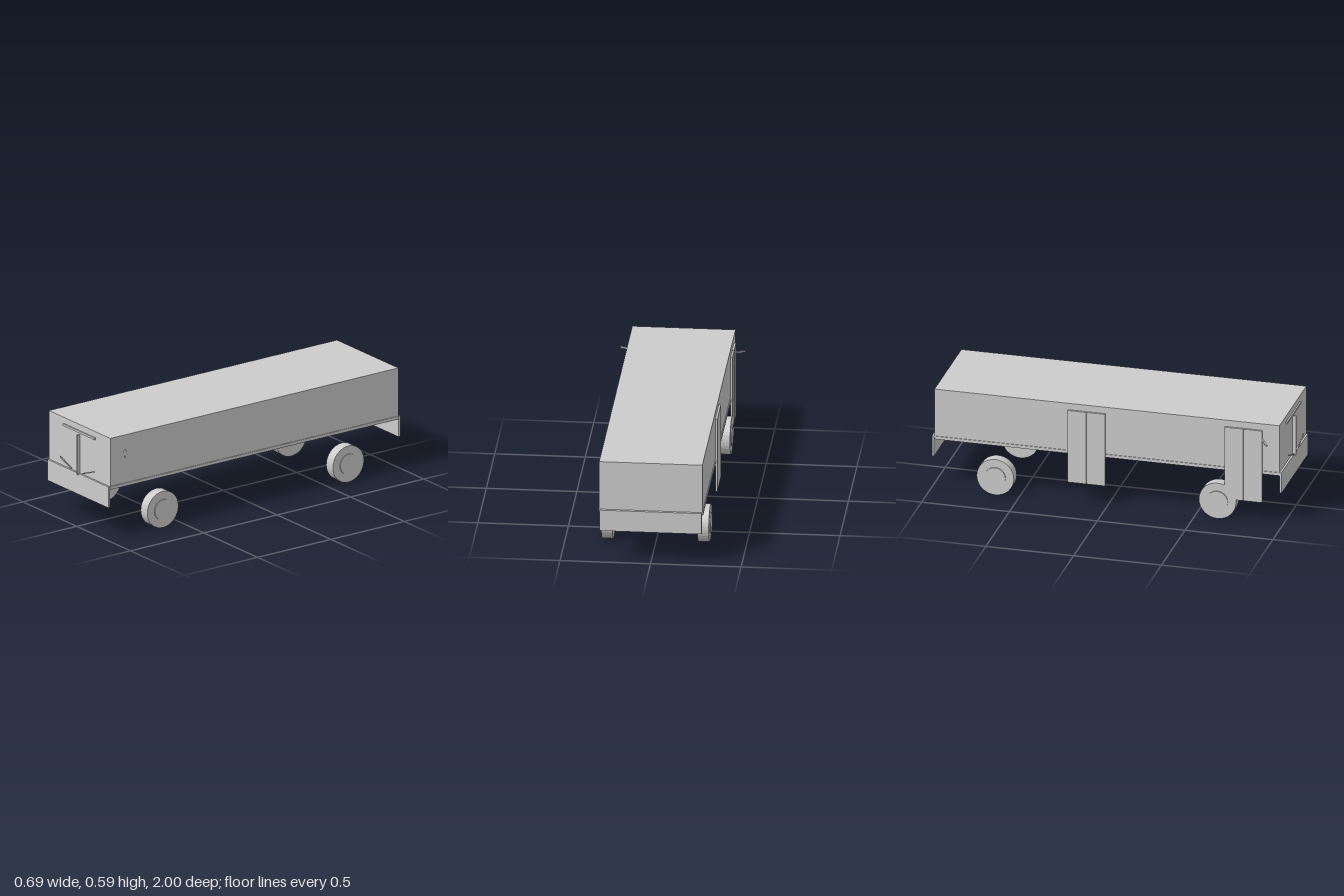
import * as THREE from 'three';

const paint = new THREE.MeshStandardMaterial({ color: 0xcccccc, flatShading: true });
paint.name = 'light grey';

export function createModel() {
  const bus = new THREE.Group();
  bus.name = 'bus';

  const add = (name, geometry, x, y, z) => {
    const mesh = new THREE.Mesh(geometry, paint);
    mesh.name = name;
    mesh.position.set(x, y, z);
    bus.add(mesh);
    return mesh;
  };

  // Box given by its limits on each axis
  const box = (name, [x0, x1], [y0, y1], [z0, z1]) =>
    add(name, new THREE.BoxGeometry(x1 - x0, y1 - y0, z1 - z0),
      (x0 + x1) / 2, (y0 + y1) / 2, (z0 + z1) / 2);

  // Thin square bar between two points
  const bar = (name, from, to, thickness) => {
    const a = new THREE.Vector3(...from), b = new THREE.Vector3(...to);
    const mid = a.clone().add(b).multiplyScalar(0.5);
    const mesh = add(name, new THREE.BoxGeometry(thickness, thickness, a.distanceTo(b)), mid.x, mid.y, mid.z);
    mesh.lookAt(b);
    return mesh;
  };

  // Body shell and end skirts
  box('body', [-0.285, 0.285], [0.298, 0.59], [-0.984, 0.98]);
  box('frontSkirt', [-0.282, 0.282], [0.186, 0.308], [0.979, 0.991]);
  box('rearSkirt', [-0.282, 0.282], [0.186, 0.308], [-1, -0.988]);
  box('rearSkirtMount', [-0.282, 0.282], [0.298, 0.308], [-0.988, -0.984]);

  // Front details
  box('destinationSign', [-0.147, 0.147], [0.543, 0.555], [0.98, 0.988]);
  box('windscreenDivider', [-0.0045, 0.0045], [0.3, 0.532], [0.98, 0.998]);

  for (const side of [-1, 1]) {
    const name = side > 0 ? 'left' : 'right';
    bar(name + 'Wiper', [side * 0.053, 0.322, 0.997], [side * 0.156, 0.361, 0.997], 0.006);
    bar(name + 'MirrorArm', [side * 0.28, 0.498, 0.876], [side * 0.343, 0.487, 0.922], 0.009);

    // Rub rail along the lower edge
    const rail = [side * 0.284, side * 0.289].sort((a, b) => a - b);
    box(name + 'RubRail', rail, [0.292, 0.31], [-0.984, 0.98]);

    // Wheels with raised hubs on the outside
    for (const [end, z] of [['Front', 0.63], ['Rear', -0.635]]) {
      const tyre = add(name + end + 'Wheel', new THREE.CylinderGeometry(0.106, 0.106, 0.062, 32), side * 0.266, 0.106, z);
      const hub = add(name + end + 'Hub', new THREE.CylinderGeometry(0.059, 0.059, 0.01, 32), side * 0.298, 0.106, z);
      tyre.rotation.z = hub.rotation.z = Math.PI / 2;
    }
  }

  // Double-leaf doors on the right side
  for (const [name, z] of [['frontDoor', 0.776], ['middleDoor', -0.117]]) {
    for (const s of [-1, 1]) {
      const leaf = [z + s * 0.001, z + s * 0.107].sort((a, b) => a - b);
      box(name + 'Leaf', [-0.297, -0.286], [0.123, 0.552], leaf);
    }
  }
  return bus;
}
